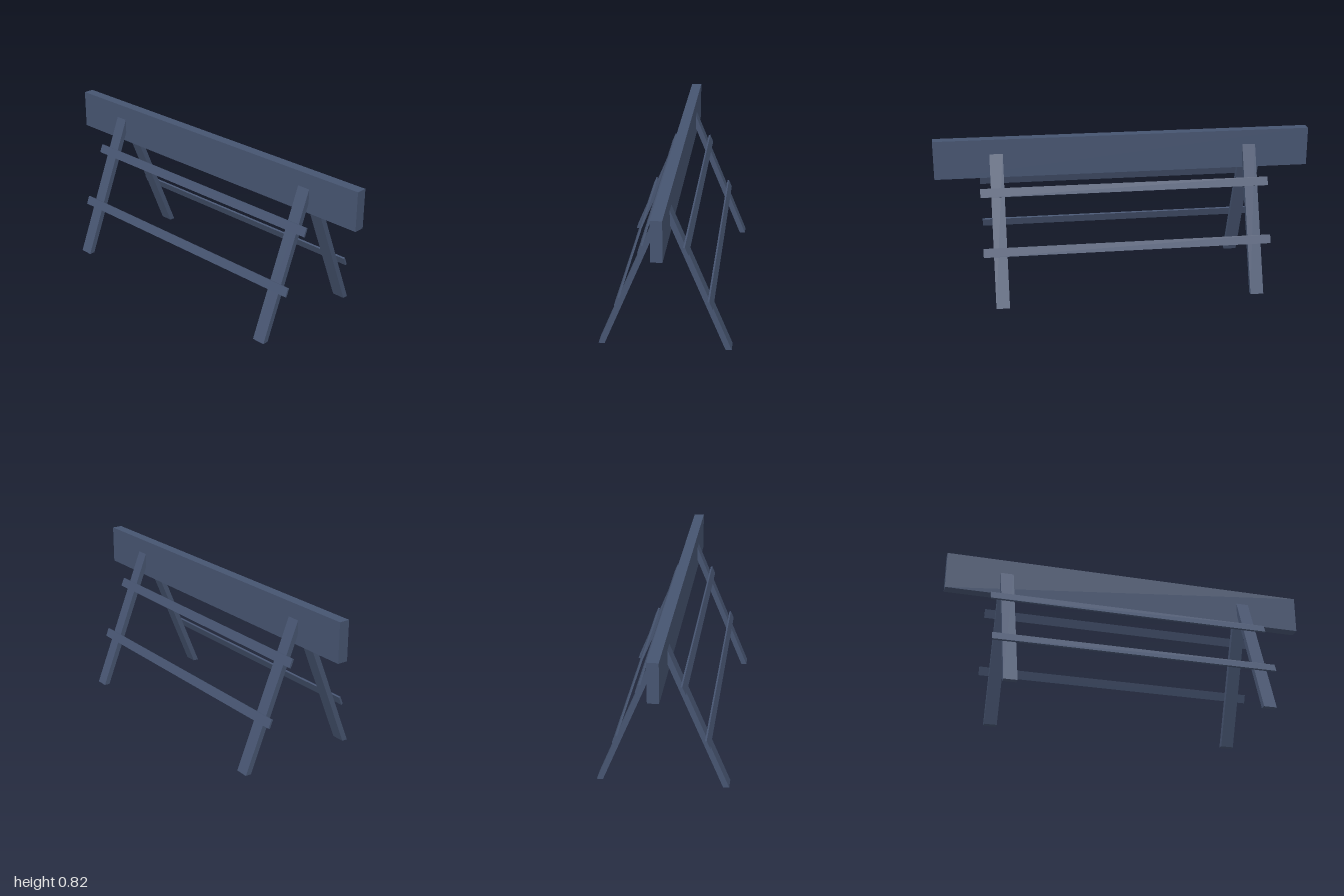
import * as THREE from 'three';

const LEAN = 0.411; // inward run of a leg per unit of height
const FOOT = 0.334; // z of the outer foot edge
const LEG_T = 0.031; // leg thickness measured along the ground
const LEG_W = 0.07;

export function createModel() {
  const model = new THREE.Group();
  model.name = 'trestle';
  const paint = new THREE.MeshStandardMaterial({ color: 0x465470 });
  paint.name = 'slate blue';

  const add = (parent, geometry, name, x, y, z) => {
    const mesh = new THREE.Mesh(geometry, paint);
    mesh.name = name;
    mesh.position.set(x, y, z);
    parent.add(mesh);
    return mesh;
  };

  // top beam
  add(model, new THREE.BoxGeometry(2, 0.206, 0.056), 'topBeam', 0, 0.72, 0);

  // leaning leg, cut level at the foot, its upper end buried in the beam
  const topZ = 0.02;
  const profile = new THREE.Shape([
    new THREE.Vector2(FOOT, 0),
    new THREE.Vector2(topZ, (FOOT - topZ) / LEAN),
    new THREE.Vector2(topZ, (FOOT - LEG_T - topZ) / LEAN),
    new THREE.Vector2(FOOT - LEG_T, 0),
  ]);
  const legGeometry = new THREE.ExtrudeGeometry(profile, { depth: LEG_W, bevelEnabled: false });
  legGeometry.translate(0, 0, -LEG_W / 2).rotateY(-Math.PI / 2);

  // two matching frames, front and back
  for (const side of ['front', 'back']) {
    const frame = new THREE.Group();
    frame.name = side + 'Frame';
    if (side === 'back') frame.rotation.y = Math.PI;
    model.add(frame);

    for (const x of [-0.675, 0.675]) add(frame, legGeometry, side + 'Leg', x, 0, 0);

    // rails lying flat on the outer faces of the legs
    for (const [name, y, length] of [['UpperRail', 0.559, 1.532], ['LowerRail', 0.271, 1.526]]) {
      const rail = add(frame, new THREE.BoxGeometry(length, 0.047, 0.01), side + name, 0, y, FOOT - LEAN * y + 0.005);
      rail.rotation.x = -Math.atan(LEAN);
    }
  }
  return model;
}
